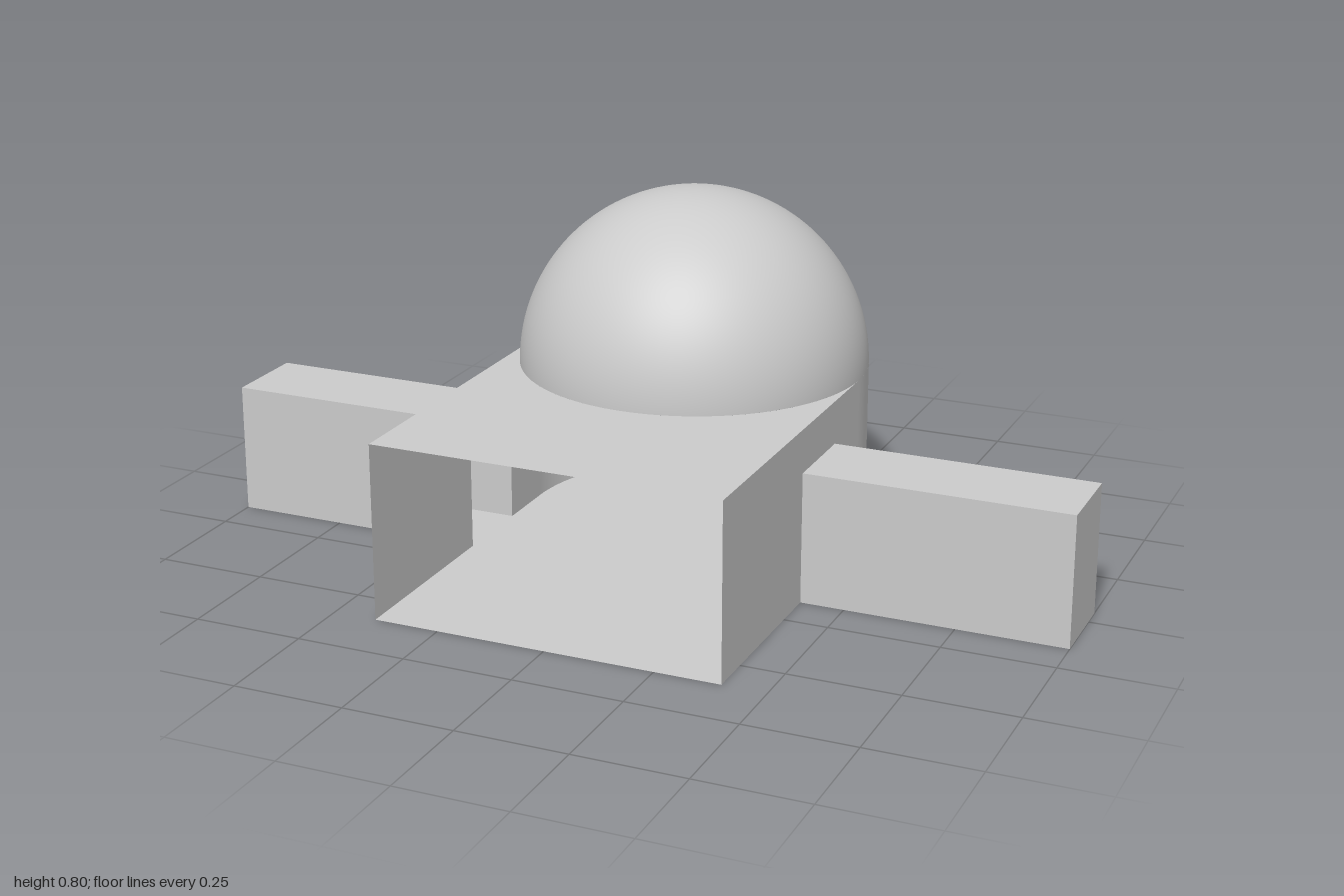
import * as THREE from 'three';

const R = 0.4, H = 0.4, ZC = -0.2, FRONT = 0.6; // dome radius, wall height, dome centre, open front
const material = new THREE.MeshStandardMaterial({ color: 0xcccccc, side: THREE.DoubleSide });

export function createModel() {
  const model = new THREE.Group();
  model.name = 'domedShelter';

  const add = (name, geometry, x = 0, y = 0, z = 0, parent = model) => {
    const mesh = new THREE.Mesh(geometry, material);
    mesh.name = name;
    mesh.position.set(x, y, z);
    parent.add(mesh);
    return mesh;
  };

  // Flat plan: a rectangle whose rear edge is a half circle, bulging out or cut in
  const plan = (cutIn) => {
    const s = new THREE.Shape();
    s.moveTo(-R, -FRONT);
    s.lineTo(R, -FRONT);
    s.lineTo(R, -ZC);
    s.absarc(0, -ZC, R, 0, cutIn ? -Math.PI : Math.PI, cutIn);
    s.closePath();
    return new THREE.ShapeGeometry(s, 48).rotateX(-Math.PI / 2);
  };
  add('floor', plan(false));
  add('roof', plan(true), 0, H, 0);

  // Side walls with a doorway into each arm
  const wall = new THREE.Shape([
    [-FRONT, 0], [-0.15, 0], [-0.15, 0.3], [0.05, 0.3],
    [0.05, 0], [-ZC, 0], [-ZC, H], [-FRONT, H],
  ].map(([x, y]) => new THREE.Vector2(x, y)));
  const wallGeometry = new THREE.ShapeGeometry(wall).rotateY(Math.PI / 2);

  // Hollow arms: a box without the face towards the room
  const arm = (side) => {
    const g = new THREE.BoxGeometry(0.6, 0.3, 0.2);
    const open = side > 0 ? 1 : 0; // box faces run +x, -x, ...
    const index = Array.from(g.index.array);
    index.splice(open * 6, 6);
    g.setIndex(index);
    g.clearGroups();
    return g;
  };
  for (const [name, side] of [['left', 1], ['right', -1]]) {
    add(name + 'Wall', wallGeometry, side * R);
    add(name + 'Arm', arm(side), side * 0.7, 0.15, 0.05);
  }

  // Curved rear wall, in bands around the window
  const rear = new THREE.Group();
  rear.name = 'rearWall';
  model.add(rear);
  const a = Math.asin(0.25 / R);
  const band = (name, y0, y1, from, to) => add(name,
    new THREE.CylinderGeometry(R, R, y1 - y0, 32, 1, true, from, to - from),
    0, (y0 + y1) / 2, ZC, rear);
  band('leftOfWindow', 0, H, Math.PI / 2, Math.PI - a);
  band('rightOfWindow', 0, H, Math.PI + a, Math.PI * 1.5);
  band('belowWindow', 0, 0.12, Math.PI - a, Math.PI + a);
  band('aboveWindow', 0.32, H, Math.PI - a, Math.PI + a);

  // Dome, open to the room below
  add('dome', new THREE.SphereGeometry(R, 96, 32, 0, Math.PI * 2, 0, Math.PI / 2), 0, H, ZC);

  return model;
}
